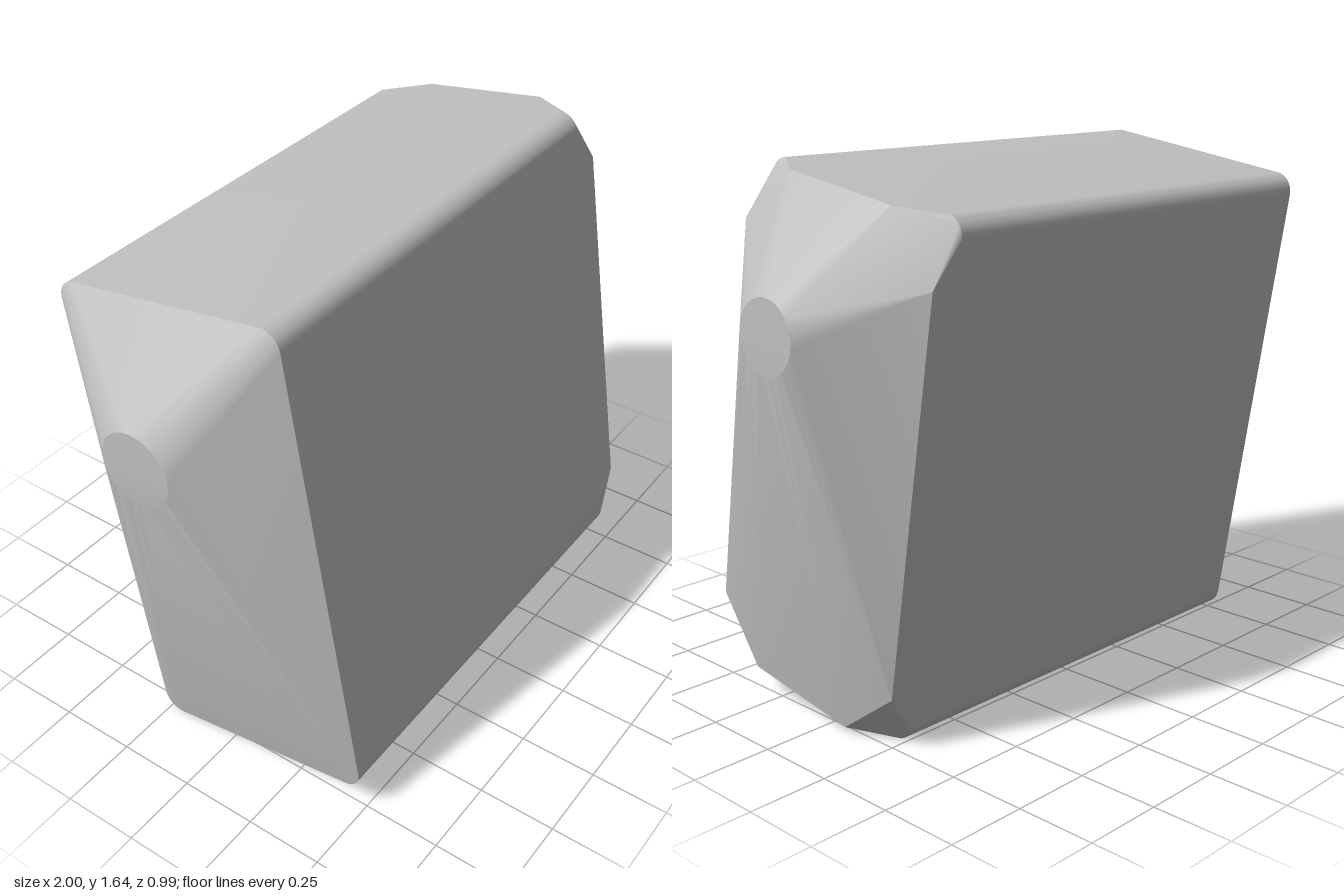
import * as THREE from 'three';
import { ConvexGeometry } from 'three/addons/geometries/ConvexGeometry.js';
import { toCreasedNormals } from 'three/addons/utils/BufferGeometryUtils.js';

const TILT = THREE.MathUtils.degToRad(9); // block leans backwards
const HALF_W = 0.387, HALF_H = 0.777, MID_Y = 0.821;

// Point of the leaning cross-section: u runs to the front, v upwards
function sectionPoint(x, u, v) {
  const c = Math.cos(TILT), s = Math.sin(TILT);
  return new THREE.Vector3(x, MID_Y + u * s + v * c, u * c - v * s);
}

// Rectangle with rounded corners
function roundedSection(x, r, steps) {
  const points = [];
  for (let corner = 0; corner < 4; corner++) {
    const su = corner === 0 || corner === 3 ? 1 : -1;
    const sv = corner < 2 ? 1 : -1;
    for (let i = 0; i <= steps; i++) {
      const a = (corner + i / steps) * Math.PI / 2;
      points.push(sectionPoint(x,
        su * (HALF_W - r) + r * Math.cos(a),
        sv * (HALF_H - r) + r * Math.sin(a)));
    }
  }
  return points;
}

// Rectangle with cut corners
function chamferedSection(x, cut) {
  const points = [];
  for (const su of [-1, 1]) for (const sv of [-1, 1]) {
    points.push(sectionPoint(x, su * (HALF_W - cut), sv * HALF_H));
    points.push(sectionPoint(x, su * HALF_W, sv * (HALF_H - cut)));
  }
  return points;
}

// Small round end face
function endDisc(x, r, sides) {
  return Array.from({ length: sides }, (_, i) => {
    const a = i / sides * Math.PI * 2;
    return new THREE.Vector3(x, 1.206 + r * Math.sin(a), -0.063 + r * Math.cos(a));
  });
}

export function createModel() {
  const group = new THREE.Group();
  group.name = 'taperedBlock';
  const grey = new THREE.MeshStandardMaterial({ color: 0xc0c0c0 });
  grey.name = 'plain grey';

  // Leaning block: rounded body, chamfered left shoulder, both ends tapering to discs
  const hull = new ConvexGeometry([
    ...endDisc(-1, 0.115, 40),
    ...roundedSection(-0.785, 0.06, 10),
    ...roundedSection(0.695, 0.06, 10),
    ...chamferedSection(0.782, 0.18),
    ...endDisc(1, 0.108, 40),
  ]);
  const body = new THREE.Mesh(toCreasedNormals(hull, 0.25), grey);
  body.name = 'body';
  group.add(body);
  return group;
}
